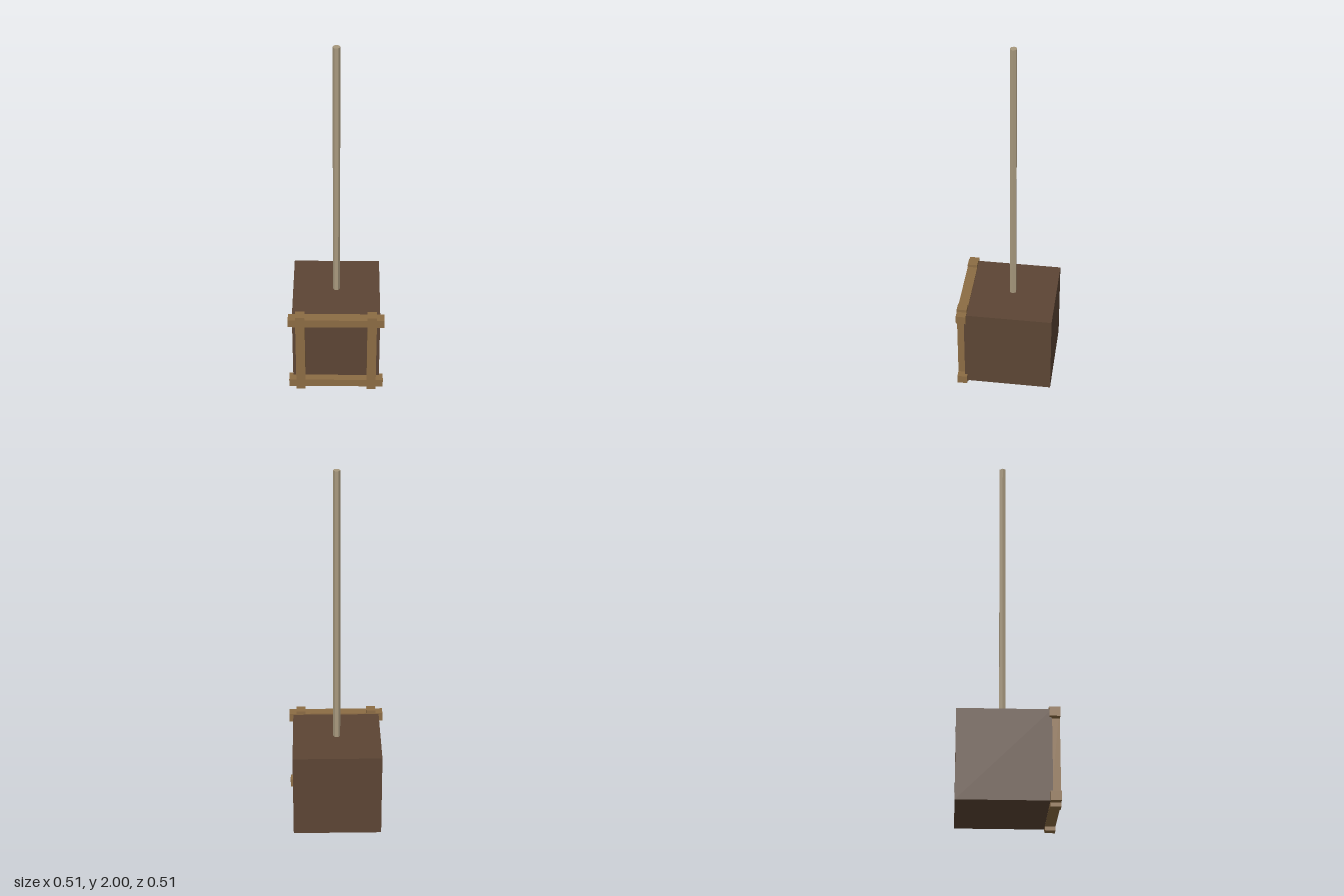
import * as THREE from 'three';

const mat = (name, color) => {
  const m = new THREE.MeshStandardMaterial({ color });
  m.name = name;
  return m;
};

export function createModel() {
  const group = new THREE.Group();
  const darkWood = mat('dark wood', 0x5c4534);
  const frameWood = mat('frame wood', 0x8c6c44);
  const paleWood = mat('pale wood', 0xa8997e);
  paleWood.flatShading = true;

  const add = (name, geometry, material, x, y, z) => {
    const mesh = new THREE.Mesh(geometry, material);
    mesh.name = name;
    mesh.position.set(x, y, z);
    group.add(mesh);
    return mesh;
  };

  // Solid block
  add('block', new THREE.BoxGeometry(0.47, 0.468, 0.47), darkWood, 0, 0.258, -0.02);

  // Front frame: two posts crossed by two rails, ends sticking out
  const post = new THREE.BoxGeometry(0.05, 0.514, 0.053);
  const rail = new THREE.BoxGeometry(0.512, 0.048, 0.053);
  for (const s of [-1, 1]) {
    add(s > 0 ? 'leftPost' : 'rightPost', post, frameWood, s * 0.192, 0.257, 0.228);
    add(s > 0 ? 'topRail' : 'bottomRail', rail, frameWood, 0, 0.259 + s * 0.215, 0.228);
  }

  // Tall six-sided pole, corners pointing left and right
  const pole = new THREE.CylinderGeometry(0.019, 0.019, 1.52, 6);
  pole.rotateY(Math.PI / 6);
  add('pole', pole, paleWood, 0, 1.24, -0.02);

  return group;
}
